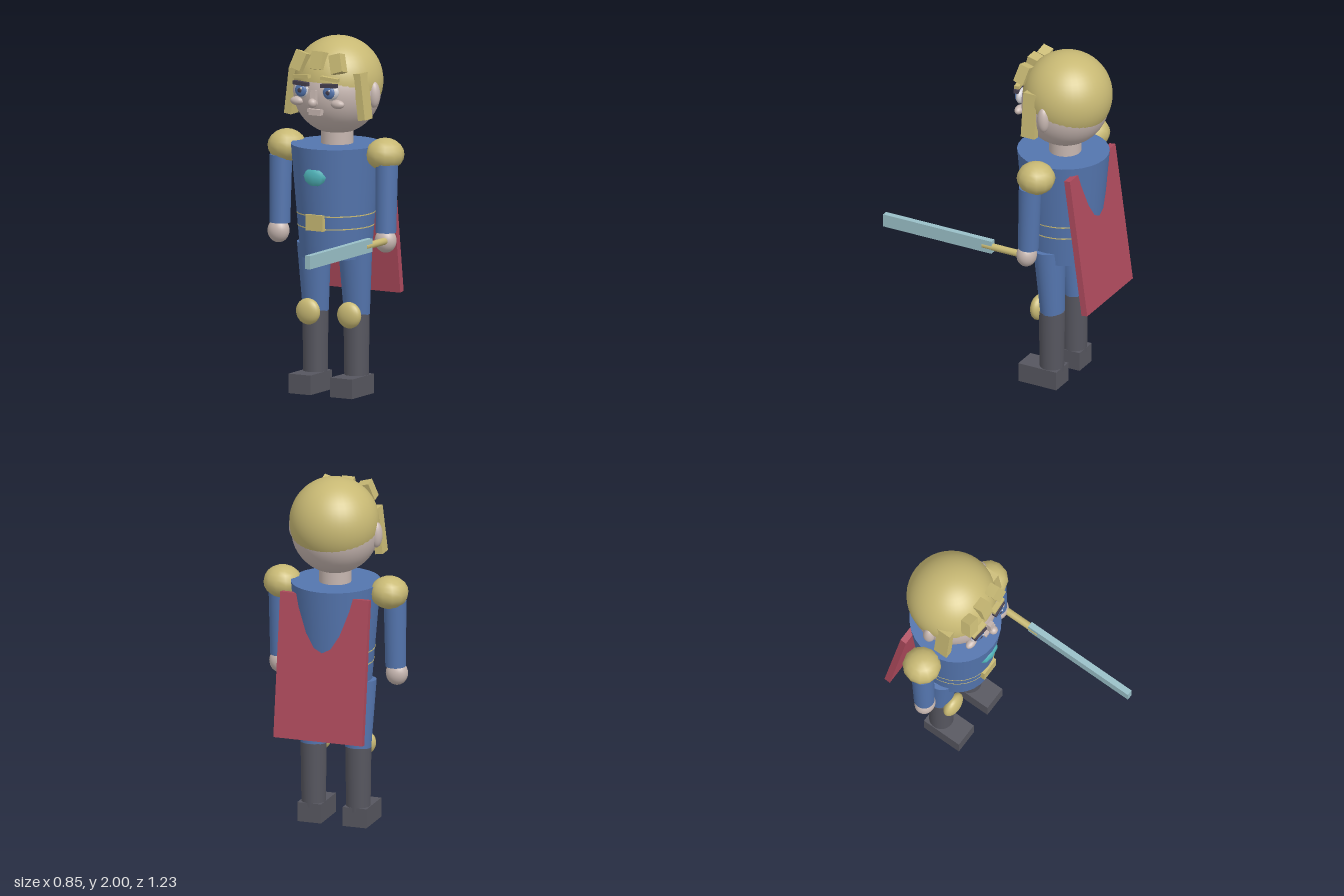
import * as THREE from 'three';

const mat = (name, color) => {
  const m = new THREE.MeshStandardMaterial({ color });
  m.name = name;
  return m;
};

export function createModel() {
  const gold = mat('gold', 0xc8b974), skin = mat('skin', 0xc6b6b0), blue = mat('blue cloth', 0x5475ae),
    dark = mat('boot grey', 0x56565f), red = mat('cape red', 0xae4a5d), steel = mat('blade', 0x99bfc7),
    teal = mat('gem teal', 0x52b8be), brow = mat('brow dark', 0x453f4e), white = mat('eye white', 0xd3d0d4);
  const root = new THREE.Group();
  root.name = 'knight';

  const add = (name, geo, material, pos, rot = [0, 0, 0], scale = [1, 1, 1]) => {
    const m = new THREE.Mesh(geo, material);
    m.name = name;
    m.position.set(...pos);
    m.rotation.set(...rot);
    m.scale.set(...scale);
    root.add(m);
    return m;
  };
  const box = (name, material, size, pos, rot) => add(name, new THREE.BoxGeometry(...size), material, pos, rot);
  const ball = (name, material, radii, pos, w = 24, h = 16) =>
    add(name, new THREE.SphereGeometry(1, w, h), material, pos, [0, 0, 0], radii);
  const tube = (name, material, rTop, rBottom, h, pos, rot, scale) =>
    add(name, new THREE.CylinderGeometry(rTop, rBottom, h, 28), material, pos, rot, scale);

  // Torso, belt trims, buckle and chest gem
  const cz = -0.313, flat = [0.957, 1, 1];
  tube('torso', blue, 0.26, 0.205, 0.63, [0, 1.085, cz], [0, 0, 0], flat);
  for (const y of [0.946, 1.018]) {
    const r = 0.2065 + (y - 0.77) * 0.0873;
    tube('beltTrim', gold, r, r, 0.006, [0, y, cz], [0, 0, 0], flat);
  }
  box('buckle', gold, [0.11, 0.09, 0.03], [0, 0.983, -0.088]);
  ball('chestGem', teal, [0.075, 0.058, 0.03], [0, 1.243, -0.083], 8, 6);

  // Cape leaning back from the shoulders
  box('cape', red, [0.524, 0.82, 0.037], [0, 0.95, -0.535], [0.135, 0, 0]);

  // Head, hair and neck
  tube('neck', skin, 0.09, 0.09, 0.12, [0, 1.43, -0.325]);
  ball('head', skin, [0.245, 0.245, 0.245], [0, 1.698, -0.325], 40, 28);
  ball('hair', gold, [0.25, 0.25, 0.25], [0, 1.75, -0.34], 40, 28);
  box('fringe', gold, [0.074, 0.1, 0.062], [0, 1.888, -0.125], [-0.25, 0, 0]);

  // Nose and mouth
  box('noseBridge', skin, [0.034, 0.08, 0.04], [0, 1.69, -0.075], [-0.15, 0, 0]);
  ball('noseTip', skin, [0.026, 0.026, 0.026], [0, 1.66, -0.053], 16, 12);
  box('upperLip', skin, [0.088, 0.018, 0.04], [0, 1.613, -0.09]);
  box('lowerLip', skin, [0.074, 0.018, 0.04], [0, 1.597, -0.093]);

  for (const s of [-1, 1]) {
    // Face
    ball('eyeWhite', white, [0.052, 0.046, 0.025], [s * 0.09, 1.722, -0.1]);
    ball('iris', blue, [0.036, 0.036, 0.015], [s * 0.09, 1.722, -0.08]);
    ball('pupil', brow, [0.016, 0.016, 0.007], [s * 0.09, 1.722, -0.07], 12, 8);
    ball('eyeGlint', white, [0.007, 0.007, 0.004], [s * 0.09 + 0.011, 1.735, -0.065], 8, 6);
    box('upperLid', brow, [0.098, 0.021, 0.028], [s * 0.09, 1.76, -0.083], [0, s * 0.1, s * 0.05]);
    box('eyebrow', gold, [0.105, 0.02, 0.03], [s * 0.09, 1.797, -0.09], [0, s * 0.1, -s * 0.1]);
    ball('cheek', skin, [0.042, 0.025, 0.025], [s * 0.13, 1.655, -0.108], 16, 12);
    ball('ear', skin, [0.035, 0.074, 0.035], [s * 0.24, 1.69, -0.318]);
    // Hair locks
    box('sideFringe', gold, [0.072, 0.105, 0.062], [s * 0.12, 1.878, -0.128], [-0.25, 0, s * 0.3]);
    box('sideLock', gold, [0.045, 0.262, 0.085], [s * 0.222, 1.692, -0.228], [0, 0, s * 0.12]);

    // Arms
    ball('shoulderGuard', gold, [0.108, 0.092, 0.108], [s * 0.315, 1.362, cz], 12, 10);
    tube('arm', blue, 0.063, 0.058, 0.38, [s * 0.34, 1.12, -0.284], [-0.03, 0, 0]);
    ball('hand', skin, [0.063, 0.068, 0.056], [s * 0.344, 0.886, -0.27]);

    // Legs
    tube('thigh', blue, 0.098, 0.074, 0.39, [s * 0.132, 0.645, -0.307], [0.05, 0, 0], [1, 1, 0.9]);
    ball('kneeGuard', gold, [0.074, 0.074, 0.041], [s * 0.132, 0.453, -0.232]);
    tube('boot', dark, 0.073, 0.068, 0.37, [s * 0.132, 0.27, -0.313]);
    box('foot', dark, [0.14, 0.11, 0.24], [s * 0.134, 0.055, -0.26]);
  }

  // Sword held forward in the left hand
  tube('swordGrip', gold, 0.02, 0.02, 0.24, [0.362, 0.89, -0.125], [Math.PI / 2, 0, 0]);
  box('swordBlade', steel, [0.034, 0.075, 0.685], [0.362, 0.892, 0.277]);
  return root;
}
